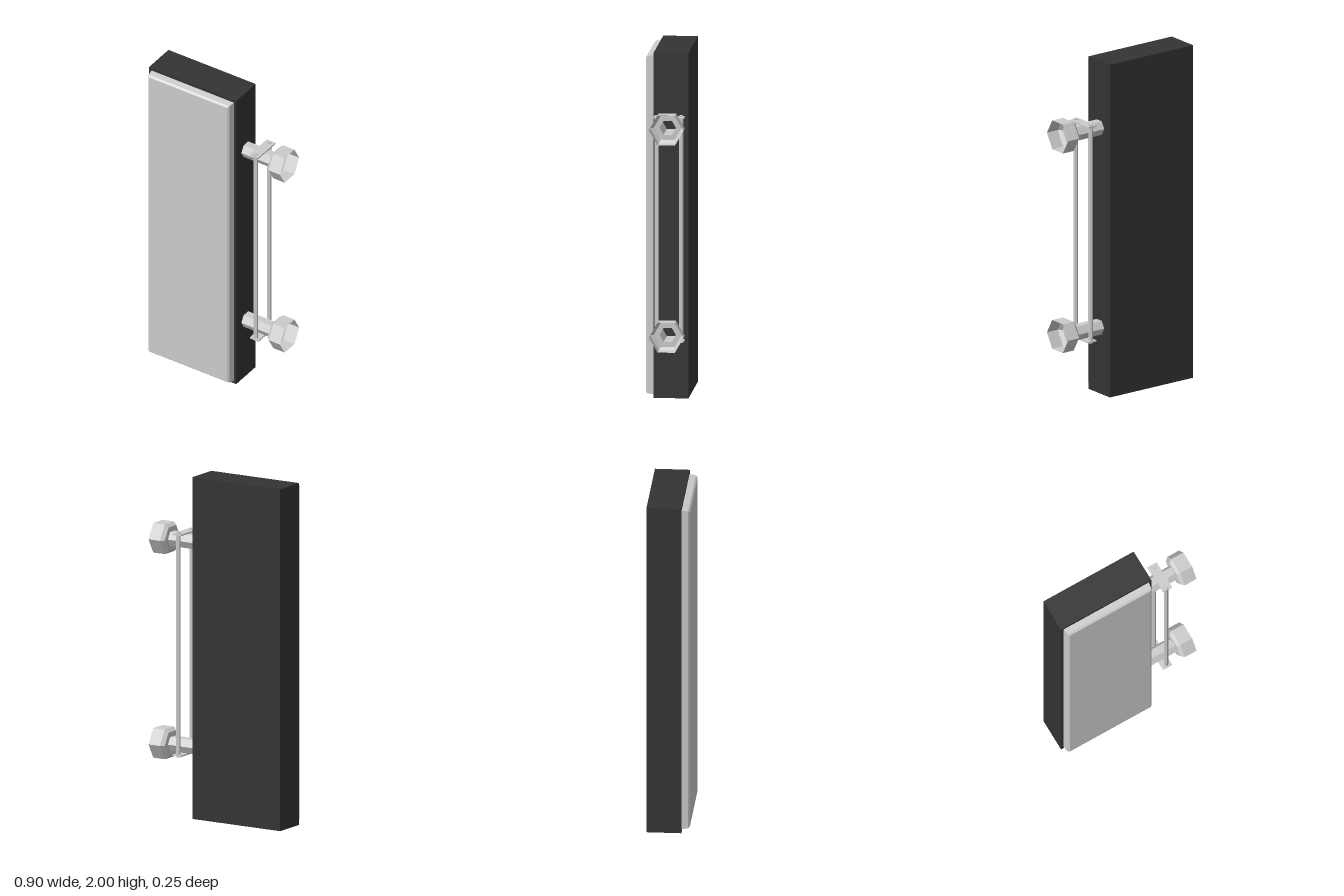
import * as THREE from 'three';

const grey = new THREE.MeshStandardMaterial({ color: 0xcccccc, flatShading: true });
const greyOpen = new THREE.MeshStandardMaterial({ color: 0xcccccc, flatShading: true, side: THREE.DoubleSide });
const dark = new THREE.MeshStandardMaterial({ color: 0x333333, flatShading: true });

const AXIS_Z = -0.025; // depth of the body's centre plane
const STRAP_X = 0.263;

function add(parent, name, geometry, material, x, y, z) {
  const mesh = new THREE.Mesh(geometry, material);
  mesh.name = name;
  mesh.position.set(x, y, z);
  parent.add(mesh);
  return mesh;
}

// Box whose rings along z shrink towards the front: [z, half width, half height]
function panelGeometry(rings) {
  const geometry = new THREE.BoxGeometry(2, 2, 2, 1, 1, rings.length - 1);
  const p = geometry.attributes.position;
  for (let i = 0; i < p.count; i++) {
    const ring = rings[Math.round((p.getZ(i) + 1) / 2 * (rings.length - 1))];
    p.setXYZ(i, Math.sign(p.getX(i)) * ring[1], Math.sign(p.getY(i)) * ring[2], ring[0]);
  }
  geometry.computeVertexNormals();
  return geometry;
}

export function createModel() {
  const model = new THREE.Group();
  model.name = 'wallPanelWithPipes';

  // Dark slab and raised front panel
  add(model, 'body', new THREE.BoxGeometry(0.598, 2, 0.2), dark, -0.151, 1, AXIS_Z);
  add(model, 'frontPanel', panelGeometry([
    [0.07, 0.283, 0.983],
    [0.112, 0.277, 0.977],
    [0.122, 0.267, 0.967],
  ]), grey, -0.151, 1, 0);

  // Hollow hexagonal pipe flaring into an open bell
  const pipeProfile = [
    [0.047, 0.14], [0.047, 0.35], [0.08, 0.35], [0.1, 0.37], [0.1, 0.448],
  ].map(([r, h]) => new THREE.Vector2(r, h));
  const pipeGeometry = new THREE.LatheGeometry(pipeProfile, 6);
  const plateGeometry = new THREE.BoxGeometry(0.06, 0.008, 0.175);

  for (const side of [-1, 1]) {
    const name = side > 0 ? 'upper' : 'lower';
    const y = 1 + side * 0.6;
    add(model, name + 'Pipe', pipeGeometry, greyOpen, 0, y, AXIS_Z).rotation.z = -Math.PI / 2;
    add(model, name + 'ClampPlate', plateGeometry, grey, STRAP_X, y + side * 0.046, AXIS_Z);
  }

  // Tie rods joining the two clamp plates
  const rodGeometry = new THREE.CylinderGeometry(0.013, 0.013, 1.316, 6);
  for (const side of [-1, 1]) {
    add(model, side > 0 ? 'frontRod' : 'backRod', rodGeometry, grey, STRAP_X, 1, AXIS_Z + side * 0.07);
  }

  return model;
}
